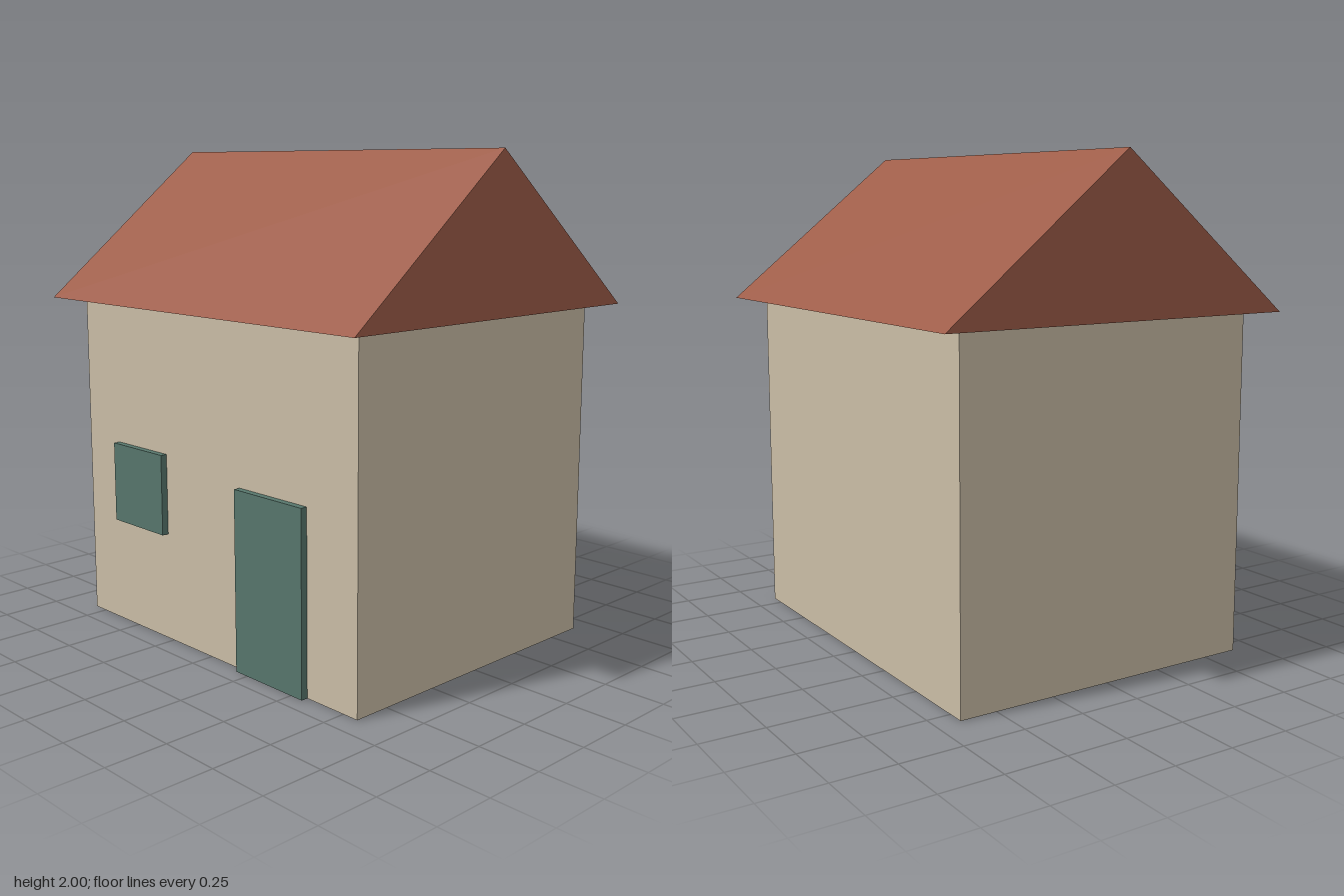
import * as THREE from 'three';

function material(name, color) {
  const m = new THREE.MeshStandardMaterial({ color });
  m.name = name;
  return m;
}

export function createModel() {
  const house = new THREE.Group();
  house.name = 'house';

  const plaster = material('plaster', 0xcabda6);
  const tile = material('roofTile', 0x9e5c48);
  const paint = material('greenPaint', 0x57766c);

  const wallX = 0.652, wallZ = 0.82, eaveY = 1.385;

  function add(name, geometry, mat, x, y, z) {
    const mesh = new THREE.Mesh(geometry, mat);
    mesh.name = name;
    mesh.position.set(x, y, z);
    house.add(mesh);
  }

  // Walls
  add('walls', new THREE.BoxGeometry(wallX * 2, eaveY, wallZ * 2), plaster, 0, eaveY / 2, 0);

  // Gabled roof: solid triangular prism overhanging the walls
  const gable = new THREE.Shape([
    new THREE.Vector2(-0.76, eaveY),
    new THREE.Vector2(0.76, eaveY),
    new THREE.Vector2(0, 2),
  ]);
  const roofLength = 1.814;
  add('roof', new THREE.ExtrudeGeometry(gable, { depth: roofLength, bevelEnabled: false }),
    tile, 0, 0, -roofLength / 2);

  // Door and window: slabs standing proud of the right wall
  const panels = [
    { name: 'door', bottom: 0, top: 0.73, z0: 0.185, z1: 0.56 },
    { name: 'window', bottom: 0.45, top: 0.785, z0: -0.605, z1: -0.275 },
  ];
  const proud = 0.028;
  for (const { name, bottom, top, z0, z1 } of panels) {
    add(name, new THREE.BoxGeometry(proud, top - bottom, z1 - z0), paint,
      -wallX - proud / 2, (bottom + top) / 2, (z0 + z1) / 2);
  }

  return house;
}
